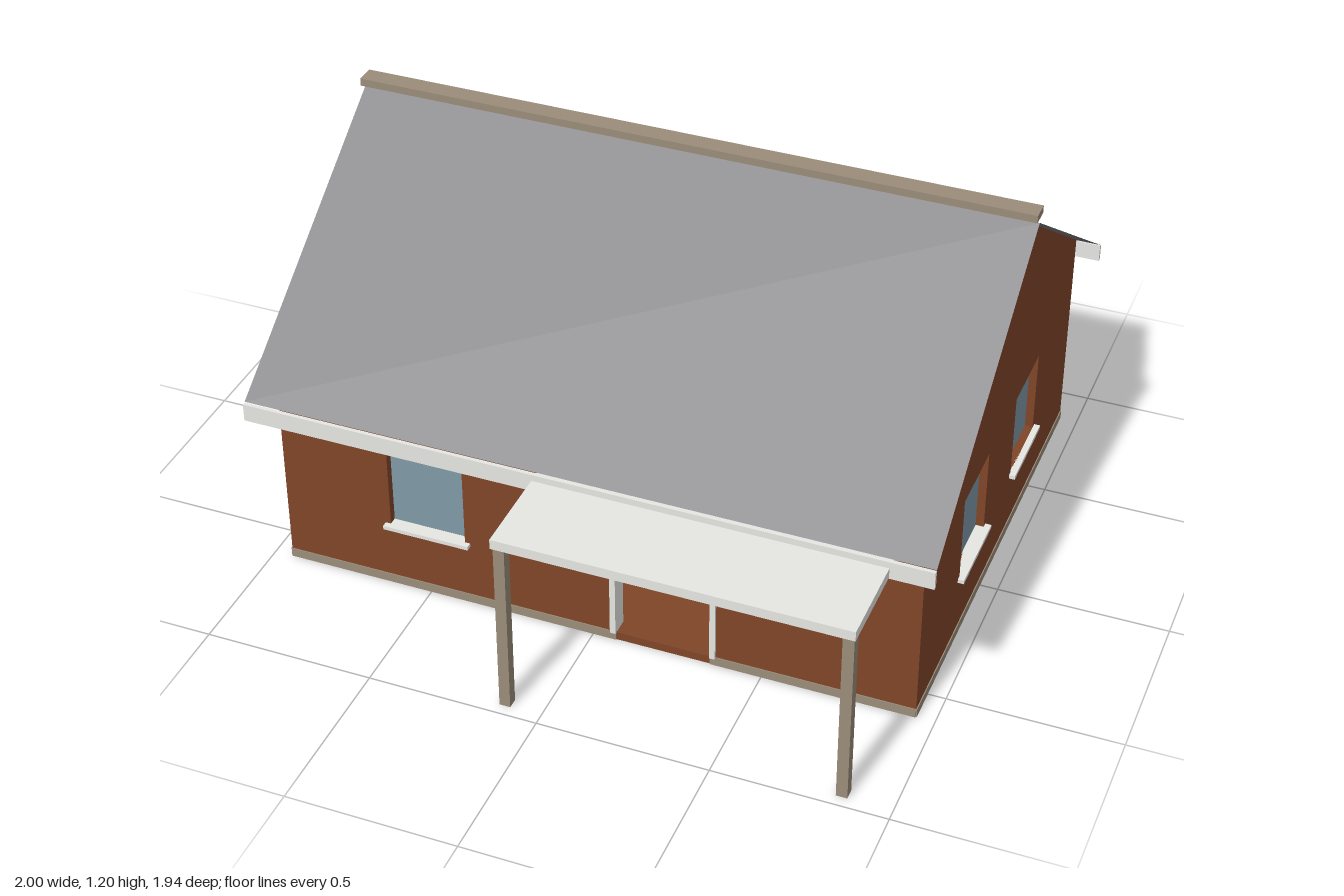
import * as THREE from 'three';

const mat = (name, color, extra = {}) => {
  const m = new THREE.MeshStandardMaterial({ color, ...extra });
  m.name = name;
  return m;
};

export function createModel() {
  const brick = mat('brick', 0x7f4527);
  const slate = mat('slate', 0x757577, { side: THREE.DoubleSide });
  const white = mat('whiteTrim', 0xe6e6e3);
  const stone = mat('stone', 0x9a8c79);
  const glass = mat('glass', 0x7f99a6);
  const plaster = mat('palePlaster', 0xe0eabf);

  const house = new THREE.Group();
  house.name = 'house';

  // Box given by its limits on each axis
  const box = (parent, name, m, [x0, x1], [y0, y1], [z0, z1]) => {
    const mesh = new THREE.Mesh(new THREE.BoxGeometry(x1 - x0, y1 - y0, z1 - z0), m);
    mesh.position.set((x0 + x1) / 2, (y0 + y1) / 2, (z0 + z1) / 2);
    mesh.name = name;
    parent.add(mesh);
    return mesh;
  };

  const BASE = 0.01, THICK = 0.05;
  const HALF = 0.945, FRONT = 0.6, BACK = -0.87;
  const RIDGE_Z = -0.135, RIDGE_Y = 1.17, EAVE_Y = 0.665;
  const SILL_Y = 0.222, HEAD_Y = 0.48, DOOR_Y = 0.035, DOOR_TOP = 0.537;

  // Wall in its own frame: u along the wall, y up, outer face at z = 0 looking to +z
  function wall(name, outline, span, windows, door) {
    const g = new THREE.Group();
    g.name = name;
    const shape = new THREE.Shape(outline.map(([u, y]) => new THREE.Vector2(u, y)));
    const cut = (u0, u1, y0, y1) => {
      const hole = new THREE.Path();
      hole.moveTo(u0, y0);
      hole.lineTo(u0, y1);
      hole.lineTo(u1, y1);
      hole.lineTo(u1, y0);
      hole.closePath();
      shape.holes.push(hole);
    };
    windows.forEach(([u0, u1]) => {
      cut(u0, u1, SILL_Y, HEAD_Y);
      box(g, 'windowPane', glass, [u0, u1], [SILL_Y, HEAD_Y], [-0.032, -0.024]);
      box(g, 'windowSill', white, [u0 - 0.016, u1 + 0.016], [0.21, SILL_Y], [-0.024, 0.018]);
    });
    let bands = [span];
    if (door) {
      const [u0, u1] = door, f = 0.017, depth = [-THICK, 0.008];
      cut(u0 + 0.002, u1 - 0.002, DOOR_Y, DOOR_TOP - 0.002);
      box(g, 'doorJamb', white, [u0, u0 + f], [DOOR_Y, DOOR_TOP], depth);
      box(g, 'doorJamb', white, [u1 - f, u1], [DOOR_Y, DOOR_TOP], depth);
      box(g, 'doorHead', white, [u0 + f, u1 - f], [DOOR_TOP - 0.014, DOOR_TOP], depth);
      bands = [[span[0], u0 + f], [u1 - f, span[1]]];
    }
    // Plinth strip along the foot, interrupted at the door
    bands.forEach((b) => box(g, 'plinth', stone, b, [BASE, 0.038], [-0.004, 0.003]));

    const geo = new THREE.ExtrudeGeometry(shape, { depth: THICK, bevelEnabled: false });
    geo.translate(0, 0, -THICK);
    const mesh = new THREE.Mesh(geo, brick);
    mesh.name = name + 'Brickwork';
    g.add(mesh);
    house.add(g);
    return g;
  }

  // Long walls
  const L = HALF - THICK;
  const longOutline = [[-L, BASE], [L, BASE], [L, EAVE_Y - 0.004], [-L, EAVE_Y - 0.004]];
  const span = [-HALF, HALF];
  const front = wall('frontWall', longOutline, span, [[-0.617, -0.387]], [0.053, 0.366]);
  front.position.z = FRONT;
  const back = wall('backWall', longOutline, span,
    [[-0.617, -0.387], [-0.112, 0.118]], [0.265, 0.578]);
  back.rotation.y = Math.PI;
  back.position.z = BACK;

  // Gable walls, mirrored left and right
  for (const s of [1, -1]) {
    const order = (a, b) => (a < b ? [a, b] : [b, a]);
    const u = (z) => -s * z;
    const pts = [[FRONT, BASE], [BACK, BASE], [BACK, EAVE_Y - 0.002],
      [RIDGE_Z, RIDGE_Y - 0.002], [FRONT, EAVE_Y - 0.002]].map(([z, y]) => [u(z), y]);
    const gable = wall(s > 0 ? 'leftGable' : 'rightGable', pts, order(u(FRONT), u(BACK)),
      [order(u(0.234), u(0)), order(u(-0.273), u(-0.508))]);
    gable.rotation.y = s * Math.PI / 2;
    gable.position.x = s * HALF;
  }

  // Floor, ceiling and the inner dividing wall
  const inX = [-L, L], inZ = [BACK + THICK, FRONT - THICK];
  box(house, 'floorSlab', stone, inX, [0.012, 0.028], inZ);
  box(house, 'floorFinish', brick, inX, [0.028, 0.035], inZ);
  box(house, 'ceiling', slate, inX, [0.55, 0.57], inZ);
  box(house, 'dividingWall', plaster, inX, [0.035, 0.55], [-0.24, -0.19]);

  // Thin roof slopes with fascia boards at the eaves
  const slope = (RIDGE_Y - EAVE_Y) / (FRONT - RIDGE_Z);
  const run = 0.823;
  for (const s of [1, -1]) {
    const geo = new THREE.PlaneGeometry(2, run);
    geo.rotateX(-Math.PI / 2);
    const p = geo.attributes.position;
    for (let i = 0; i < p.count; i++) {
      const d = p.getZ(i) + s * run / 2;
      p.setXYZ(i, p.getX(i), RIDGE_Y - Math.abs(d) * slope, RIDGE_Z + d);
    }
    geo.computeVertexNormals();
    const roof = new THREE.Mesh(geo, slate);
    roof.name = s > 0 ? 'frontRoofSlope' : 'backRoofSlope';
    house.add(roof);
    const z = RIDGE_Z + s * (run + 0.005);
    box(house, 'fascia', white, [-1, 1], [0.548, 0.602], [z - 0.006, z + 0.006]);
  }
  box(house, 'ridgeCap', stone, [-1, 1], [1.185, 1.208], [-0.164, -0.107]);

  // Porch canopy on two posts
  box(house, 'porchCanopy', white, [-0.13, 0.877], [0.552, 0.582], [FRONT, 0.97]);
  for (const x of [-0.107, 0.858]) {
    box(house, 'porchPost', stone, [x - 0.016, x + 0.016], [BASE, 0.552], [0.935, 0.967]);
  }

  return house;
}
